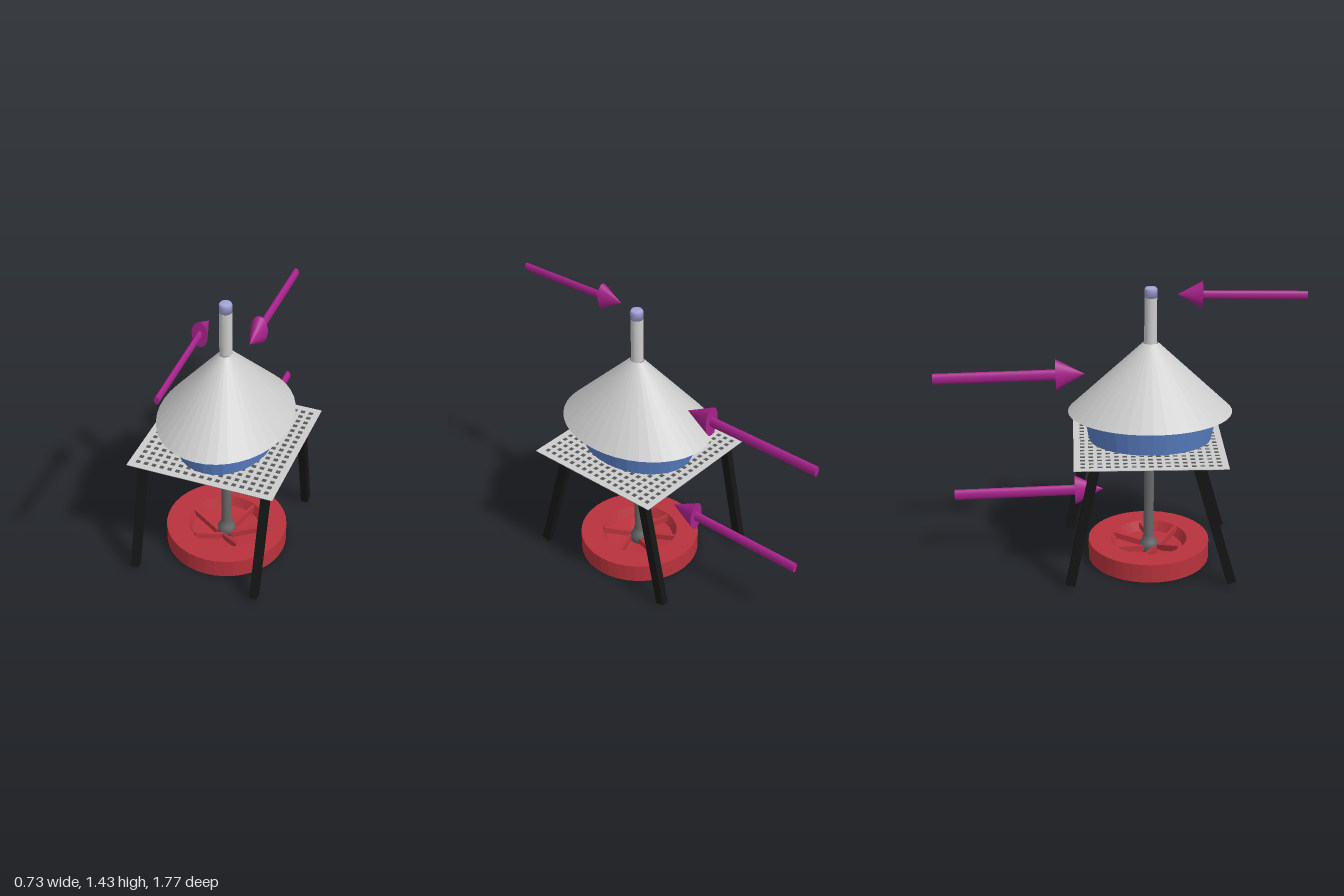
import * as THREE from 'three';

const CZ = 0.036; // shared axis of burner, dish and funnel

const material = (color, options = {}) => new THREE.MeshStandardMaterial({ color, ...options });
const grey = material(0xcccccc, { side: THREE.DoubleSide, flatShading: true });
const steel = material(0x666666);
const red = material(0xb8323c, { flatShading: true });
const black = material(0x151515);
const magenta = material(0xa8228c);

function add(parent, name, geometry, mat, x = 0, y = 0, z = 0) {
  const mesh = new THREE.Mesh(geometry, mat);
  mesh.name = name;
  mesh.position.set(x, y, z);
  parent.add(mesh);
  return mesh;
}

const lathe = (points, sides) =>
  new THREE.LatheGeometry(points.map(([r, y]) => new THREE.Vector2(r, y)), sides);

// Square bar between two points
function bar(parent, name, from, to, width, depth, mat) {
  const a = new THREE.Vector3(...from), b = new THREE.Vector3(...to);
  const mesh = add(parent, name, new THREE.BoxGeometry(width, depth, a.distanceTo(b)), mat);
  mesh.position.copy(a).lerp(b, 0.5);
  mesh.lookAt(b);
  return mesh;
}

// Pointer arrow, narrower sideways than it is tall
function arrow(parent, name, tail, tip, shaftRadius, headRadius, headLength) {
  const group = new THREE.Group();
  const a = new THREE.Vector3(...tail), b = new THREE.Vector3(...tip);
  const shaft = a.distanceTo(b) - headLength;
  group.name = name;
  group.position.copy(a);
  group.lookAt(b);
  group.scale.x = 0.58;
  add(group, 'arrowShaft', new THREE.CylinderGeometry(shaftRadius, shaftRadius, shaft, 24)
    .rotateX(Math.PI / 2), magenta, 0, 0, shaft / 2);
  add(group, 'arrowHead', new THREE.ConeGeometry(headRadius, headLength, 32)
    .rotateX(Math.PI / 2), magenta, 0, 0, shaft + headLength / 2);
  parent.add(group);
}

// Cup whose rim is pulled up into pointed tongues
function flameGeometry(radius, height, teeth, phase) {
  const profile = [[0.001, 0], [0.55, 0.06], [0.9, 0.2], [1, 0.36], [0.95, 0.5], [0.85, 0.62], [0.72, 0.74]];
  const geometry = lathe(profile.map(([r, y]) => [r * radius, y * height]), teeth * 8);
  const p = geometry.attributes.position;
  for (let i = 0; i < p.count; i++) {
    const x = p.getX(i), y = p.getY(i), z = p.getZ(i);
    const angle = Math.atan2(z, x);
    const turn = (angle / (2 * Math.PI) + 1) * teeth + phase;
    const tooth = 1 - Math.abs((turn % 1) * 2 - 1);
    const lift = THREE.MathUtils.smoothstep(y / height, 0.36, 0.74);
    const tall = 0.8 + 0.2 * Math.sin(angle * 3 + phase);
    p.setY(i, y + height * lift * (tooth * 0.5 * tall - 0.2));
    const bulge = 1 + 0.06 * (tooth - 0.5);
    p.setX(i, x * bulge);
    p.setZ(i, z * bulge);
  }
  geometry.computeVertexNormals();
  return geometry;
}

// Perforated sheet in the XZ plane, built from a shape with square holes
function meshGeometry(size, count, pitch, hole, thickness) {
  const square = (Type, x, y, w) => {
    const h = w / 2;
    return new Type([[-h, -h], [h, -h], [h, h], [-h, h]]
      .map(([u, v]) => new THREE.Vector2(x + u, y + v)));
  };
  const shape = square(THREE.Shape, 0, 0, size);
  for (let i = 0; i < count; i++) {
    for (let j = 0; j < count; j++) {
      const at = (k) => (k - (count - 1) / 2) * pitch;
      shape.holes.push(square(THREE.Path, at(i), at(j), hole));
    }
  }
  return new THREE.ExtrudeGeometry(shape, { depth: thickness, bevelEnabled: false })
    .rotateX(-Math.PI / 2);
}

export function createModel() {
  const model = new THREE.Group();
  model.name = 'sublimationApparatus';

  // Burner: dished base with spokes, collar, tube and flame
  const burner = new THREE.Group();
  burner.name = 'burner';
  burner.position.z = CZ;
  model.add(burner);
  add(burner, 'burnerBase',
    lathe([[0, 0], [0.3, 0], [0.3, 0.095], [0.19, 0.095], [0.17, 0.045], [0, 0.025]], 40), red);
  for (let i = 0; i < 6; i++) {
    const a = (i / 6) * Math.PI * 2;
    const c = Math.cos(a), s = Math.sin(a);
    bar(burner, 'baseSpoke', [c * 0.03, 0.045, s * 0.03], [c * 0.19, 0.078, s * 0.19], 0.016, 0.03, red);
  }
  add(burner, 'burnerTube',
    lathe([[0, 0.03], [0.045, 0.03], [0.045, 0.07], [0.034, 0.08], [0.03, 0.1],
      [0.025, 0.115], [0.024, 0.52], [0, 0.52]], 24), steel);
  const fire = material(0xdd7a0c, { side: THREE.DoubleSide });
  add(burner, 'outerFlame', flameGeometry(0.06, 0.115, 9, 0), fire, -0.003, 0.5, 0);
  add(burner, 'innerFlame', flameGeometry(0.036, 0.12, 6, 0.4), fire, -0.003, 0.503, 0);

  // Tripod-style stand: four splayed legs
  for (const x of [-0.333, 0.288]) {
    bar(model, 'frontLeg', [x, 0.615, 0.247], [x, 0.018, 0.418], 0.036, 0.045, black);
    bar(model, 'backLeg', [x, 0.615, -0.237], [x, 0.015, -0.357], 0.036, 0.045, black);
  }

  // Wire gauze over a solid dark backing sheet
  add(model, 'gauze', meshGeometry(0.725, 17, 0.04, 0.022, 0.003), grey, -0.002, 0.623, 0.028);
  add(model, 'gauzeBacking', new THREE.BoxGeometry(0.724, 0.002, 0.724),
    material(0x555555), -0.002, 0.622, 0.028);

  // Oval dish
  const dish = add(model, 'dish', new THREE.CylinderGeometry(0.25, 0.228, 0.142, 32),
    material(0x5a80c6, { flatShading: true }), 0.002, 0.709, CZ + 0.003);
  dish.scale.z = 1.3;

  // Inverted oval funnel and its stem
  const cone = add(model, 'funnelCone', new THREE.CylinderGeometry(0.03, 0.32, 0.345, 40, 1, true),
    grey, 0.002, 0.952, CZ + 0.002);
  cone.scale.z = 1.24;
  add(model, 'funnelStem', new THREE.CylinderGeometry(0.03, 0.03, 0.23, 32, 1, true),
    grey, 0.001, 1.238, CZ + 0.001);

  // Plug closing the stem
  add(model, 'plug', lathe([[0, 0], [0.0305, 0], [0.0305, 0.038], [0.026, 0.046], [0, 0.047]], 32),
    material(0xa3a2d8), 0.001, 1.349, CZ + 0.001);

  // Pointer arrows
  arrow(model, 'plugArrow', [-0.018, 1.357, 0.77], [-0.03, 1.37, 0.16], 0.02, 0.065, 0.115);
  arrow(model, 'funnelArrow', [-0.01, 0.956, -1], [0.002, 0.97, -0.275], 0.027, 0.078, 0.14);
  arrow(model, 'burnerArrow', [-0.014, 0.35, -0.92], [-0.002, 0.367, -0.19], 0.027, 0.077, 0.14);

  return model;
}
